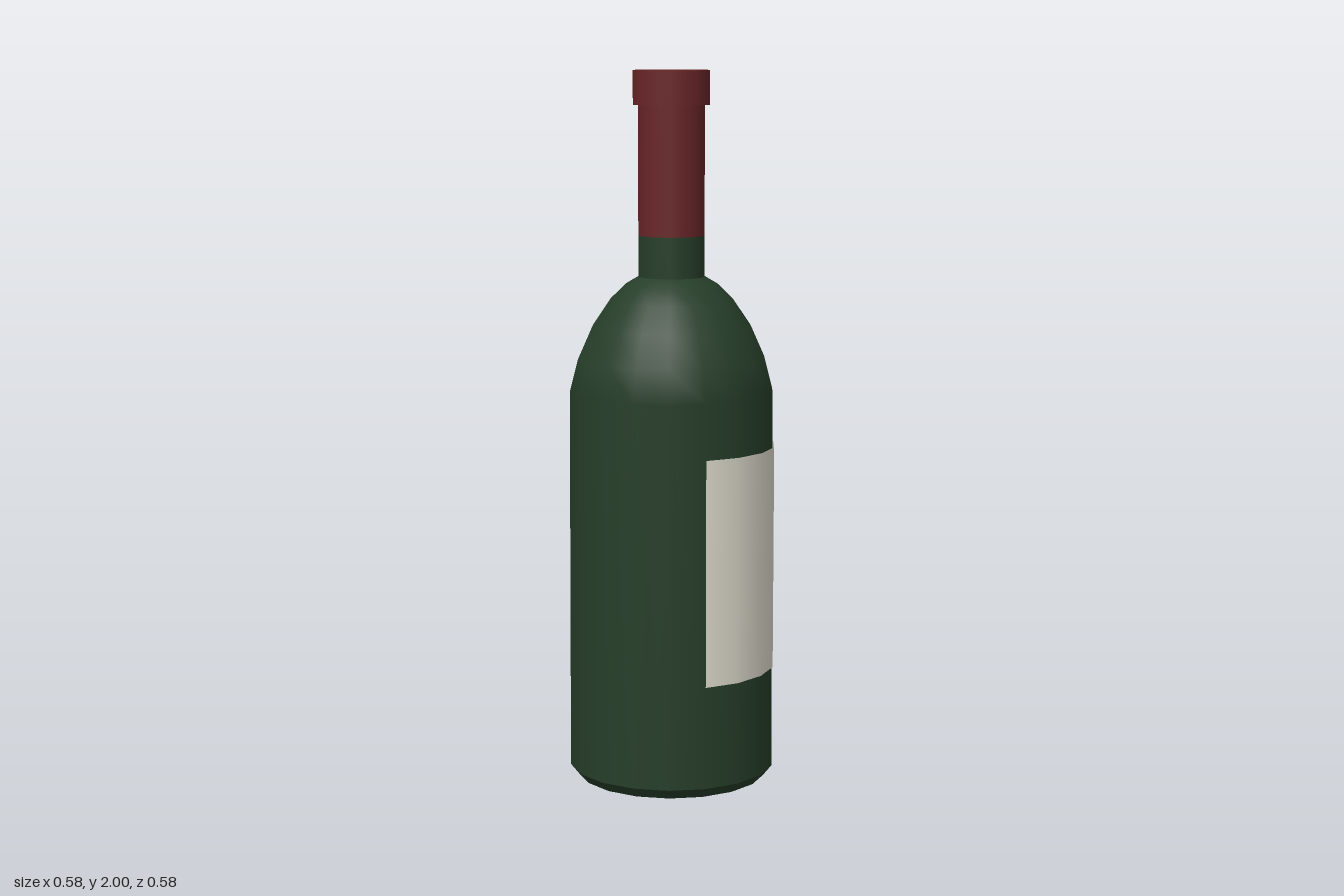
import * as THREE from 'three';

const SIDES = 18;
const glass = new THREE.MeshStandardMaterial({ name: 'greenGlass', color: 0x263e29 });
const foil = new THREE.MeshStandardMaterial({ name: 'redFoil', color: 0x682527 });
const paper = new THREE.MeshStandardMaterial({ name: 'creamPaper', color: 0xdedacc, side: THREE.DoubleSide });

// Revolves a [radius, height] profile, running bottom to top
function turned(name, material, profile) {
  const points = profile.map(([r, y]) => new THREE.Vector2(r, y));
  const mesh = new THREE.Mesh(new THREE.LatheGeometry(points, SIDES), material);
  mesh.name = name;
  return mesh;
}

export function createModel() {
  const bottle = new THREE.Group();
  bottle.name = 'bottle';

  // Separate profiles keep the edges between them sharp
  bottle.add(
    turned('baseDisc', glass, [[0, 0], [0.268, 0]]),
    turned('baseBevel', glass, [[0.268, 0], [0.292, 0.03]]),
    turned('body', glass, [
      [0.292, 0.03], [0.288, 1.11], [0.265, 1.2], [0.225, 1.29],
      [0.174, 1.365], [0.13, 1.408], [0.093, 1.43],
    ]),
    turned('neck', glass, [[0.093, 1.43], [0.093, 1.545]]),
    turned('foilSleeve', foil, [[0.0935, 1.545], [0.0935, 1.905]]),
    turned('lipUnderside', foil, [[0.0935, 1.905], [0.108, 1.905]]),
    turned('lip', foil, [[0.108, 1.905], [0.108, 2]]),
    turned('lipTop', foil, [[0.108, 2], [0, 2]]),
  );

  // Paper label wrapping five facets of the +x side
  const step = (Math.PI * 2) / SIDES;
  const label = new THREE.Mesh(
    new THREE.CylinderGeometry(0.2935, 0.2935, 0.635, 5, 1, true, 2 * step, 5 * step),
    paper,
  );
  label.name = 'label';
  label.position.y = 0.6375;
  bottle.add(label);

  return bottle;
}
